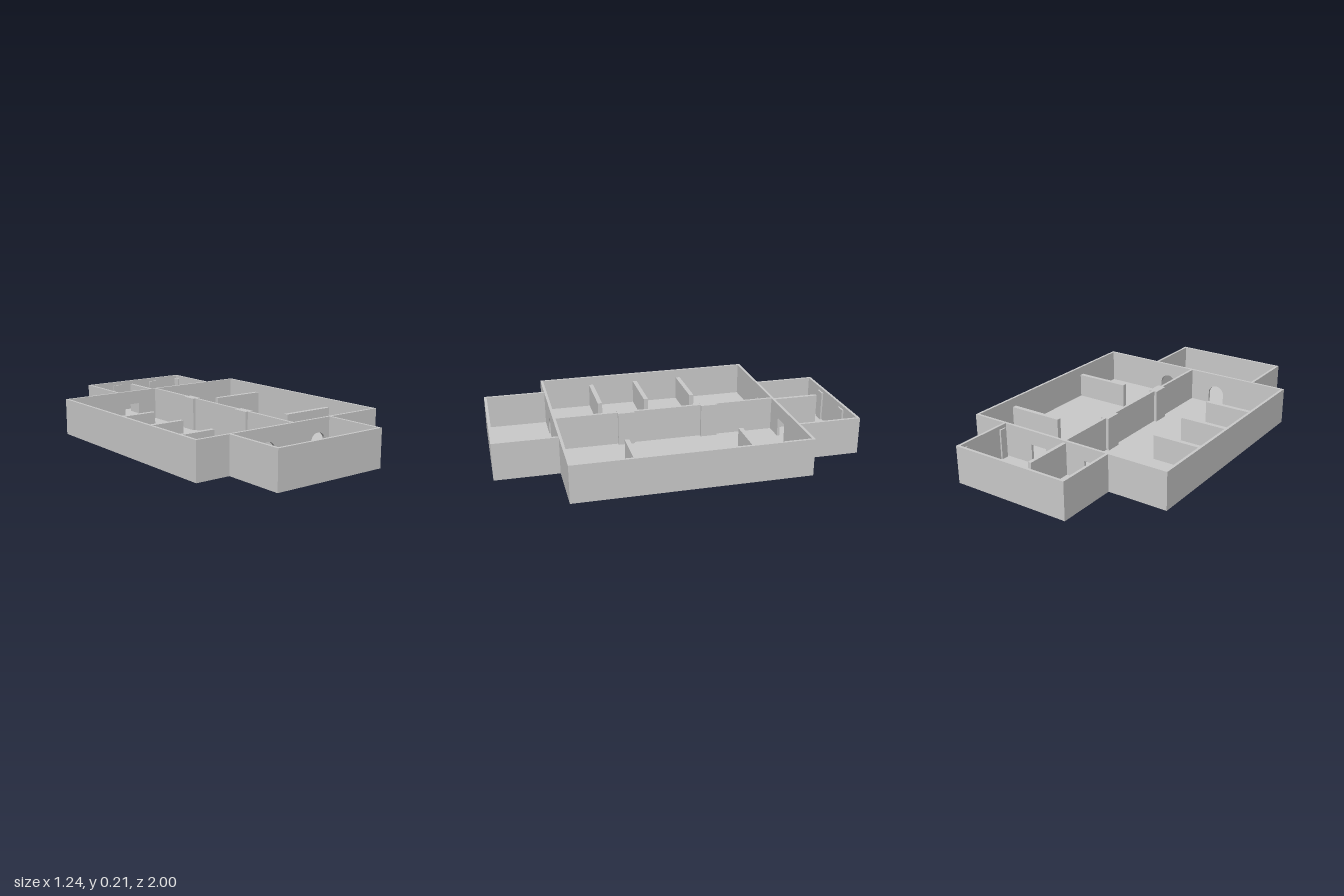
import * as THREE from 'three';

const HEIGHT = 0.21, FLOOR = 0.02, WALL = 0.015;
const material = new THREE.MeshStandardMaterial({ color: 0xcccccc });

function add(group, name, geometry, x = 0, y = 0, z = 0) {
  const mesh = new THREE.Mesh(geometry, material);
  mesh.name = name;
  mesh.position.set(x, y, z);
  group.add(mesh);
  return mesh;
}

// Box given by its ranges along each axis
function block(group, name, x0, x1, y0, y1, z0, z1) {
  add(group, name, new THREE.BoxGeometry(x1 - x0, y1 - y0, z1 - z0),
    (x0 + x1) / 2, (y0 + y1) / 2, (z0 + z1) / 2);
}

// Plan of hall, front room and back room, moved inwards by t
function outline(t) {
  const hx = 0.62 - t, hz = 0.648 - t, end = 1 - t;
  return [
    [-hx, hz], [-0.42 + t, hz], [-0.42 + t, end], [0.27 - t, end], [0.27 - t, hz], [hx, hz],
    [hx, -hz], [0.415 - t, -hz], [0.415 - t, -end], [-0.275 + t, -end], [-0.275 + t, -hz], [-hx, -hz],
  ].map(([x, z]) => new THREE.Vector2(x, -z));
}

function extrudeUp(shape, depth) {
  return new THREE.ExtrudeGeometry(shape, { depth, bevelEnabled: false }).rotateX(-Math.PI / 2);
}

// Cross wall with doorways cut up from its lower edge
function doorWall(x0, x1, arched) {
  const s = new THREE.Shape();
  const w = 0.05, spring = arched ? 0.085 : 0.13;
  s.moveTo(x0, FLOOR);
  for (const c of [-0.175, 0.175]) {
    s.lineTo(c - w, FLOOR);
    s.lineTo(c - w, spring);
    if (arched) s.absarc(c, spring, w, Math.PI, 0, true);
    else s.lineTo(c + w, spring);
    s.lineTo(c + w, FLOOR);
  }
  s.lineTo(x1, FLOOR);
  s.lineTo(x1, HEIGHT);
  s.lineTo(x0, HEIGHT);
  s.closePath();
  return new THREE.ExtrudeGeometry(s, { depth: WALL, bevelEnabled: false, curveSegments: 12 });
}

export function createModel() {
  const model = new THREE.Group();
  model.name = 'openBuilding';

  // Floor slab and outer walls
  add(model, 'floor', extrudeUp(new THREE.Shape(outline(0)), FLOOR));
  const ring = new THREE.Shape(outline(0));
  ring.holes.push(new THREE.Path(outline(WALL)));
  add(model, 'outerWalls', extrudeUp(ring, HEIGHT - FLOOR), 0, FLOOR, 0);

  // Walls with doorways between the hall and the end rooms
  add(model, 'frontDoorWall', doorWall(-0.405, 0.255, true), 0, 0, 0.633);
  add(model, 'backDoorWall', doorWall(-0.26, 0.4, false), 0, 0, -0.648);

  // Long wall down the hall, with two piers
  block(model, 'centreWall', -0.004, 0.012, FLOOR, HEIGHT, -0.633, 0.633);
  for (const z of [-0.247, 0.237]) {
    block(model, 'pier', -0.021, 0.029, FLOOR, HEIGHT, z - 0.047, z + 0.047);
  }

  // Low partitions standing out from the side walls
  for (const z of [-0.228, 0.055, 0.335]) {
    block(model, 'leftPartition', -0.607, -0.28, FLOOR, 0.16, z - 0.013, z + 0.013);
  }
  for (const z of [-0.355, 0.285]) {
    block(model, 'rightPartition', 0.275, 0.607, FLOOR, 0.16, z - 0.013, z + 0.013);
  }

  // Back room divider and shallow pilasters
  block(model, 'backRoomDivider', -0.01, 0.01, FLOOR, 0.2, -0.92, -0.648);
  for (const x of [-0.07, 0.21]) {
    block(model, 'pilaster', x - 0.03, x + 0.03, FLOOR, 0.19, -0.987, -0.975);
  }
  for (const z of [-0.965, -0.68]) {
    block(model, 'sidePilaster', 0.39, 0.402, FLOOR, 0.19, z - 0.02, z + 0.02);
  }
  return model;
}
